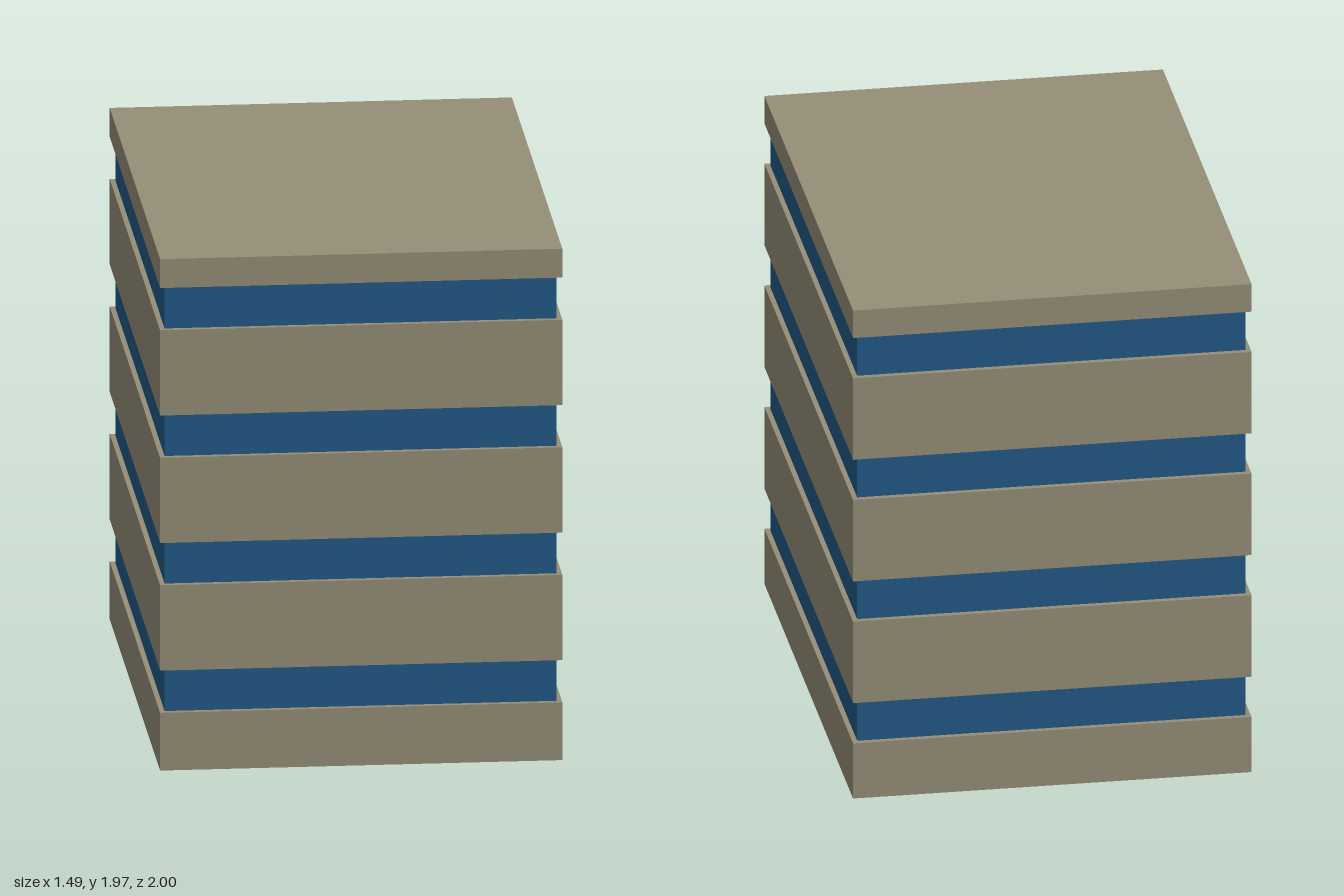
import * as THREE from 'three';

export function createModel() {
  const group = new THREE.Group();
  const concrete = new THREE.MeshStandardMaterial({ color: 0x968f78 });
  concrete.name = 'concrete';
  const glass = new THREE.MeshStandardMaterial({ color: 0x225a88 });
  glass.name = 'blue glass';

  const addLayer = (name, width, depth, bottom, top, material) => {
    const mesh = new THREE.Mesh(new THREE.BoxGeometry(width, top - bottom, depth), material);
    mesh.name = name;
    mesh.position.y = (bottom + top) / 2;
    group.add(mesh);
  };

  const storeys = 4, pitch = 0.49;
  const firstSill = 0.222, windowHeight = 0.162, height = 1.965;

  // Concrete bands overhang the recessed window strips on all four sides
  for (let i = 0; i <= storeys; i++) {
    const sill = firstSill + i * pitch;
    const bottom = i === 0 ? 0 : sill - pitch + windowHeight;
    const top = i === storeys ? height : sill;
    const name = i === 0 ? 'baseBand' : i === storeys ? 'roofSlab' : `floorBand${i}`;
    addLayer(name, 1.49, 2, bottom, top, concrete);
    if (i < storeys) addLayer(`windowStrip${i + 1}`, 1.452, 1.956, sill, sill + windowHeight, glass);
  }
  return group;
}
